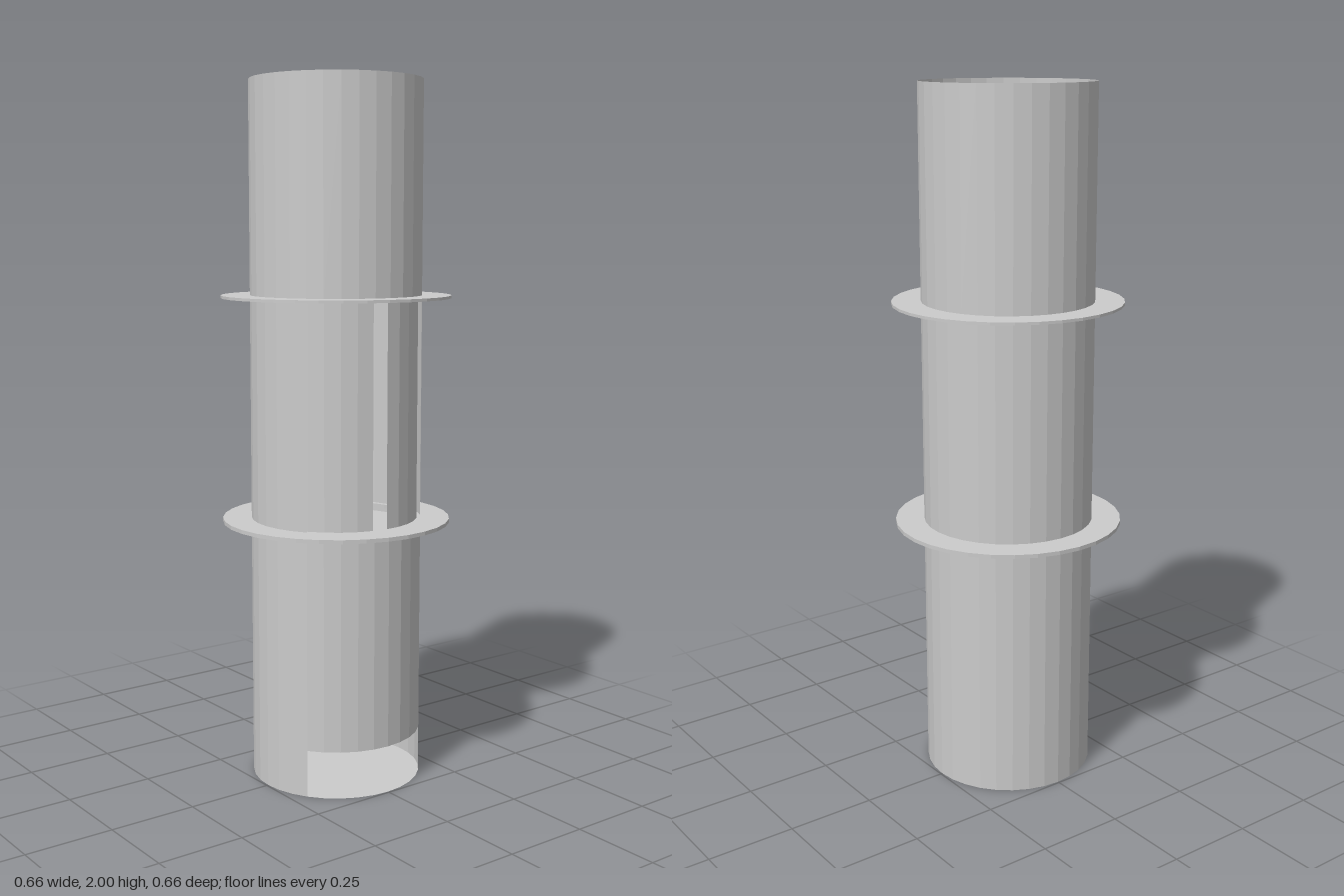
import * as THREE from 'three';

const SIDES = 32;
const STEP = (Math.PI * 2) / SIDES;
const RADIUS = 0.245;

const material = new THREE.MeshStandardMaterial({
  color: 0xcccccc, flatShading: true, side: THREE.DoubleSide,
});

function add(group, name, geometry, y = 0) {
  const mesh = new THREE.Mesh(geometry, material);
  mesh.name = name;
  mesh.position.y = y;
  group.add(mesh);
}

// Thin open wall between two heights, spanning a number of facets from a start facet
function wall(group, name, radius, y0, y1, start = 0, count = SIDES) {
  const geometry = new THREE.CylinderGeometry(
    radius, radius, y1 - y0, count, 1, true, start * STEP, count * STEP);
  add(group, name, geometry, (y0 + y1) / 2);
}

// Flat collar with a hole
function collar(group, name, inner, outer, y, thickness) {
  const h = thickness / 2;
  const profile = [[inner, -h], [outer, -h], [outer, h], [inner, h], [inner, -h]]
    .map(([r, v]) => new THREE.Vector2(r, v));
  add(group, name, new THREE.LatheGeometry(profile, SIDES), y);
}

// Horizontal disc closing the tube
function disc(group, name, radius, y) {
  const geometry = new THREE.CircleGeometry(radius, SIDES).rotateX(-Math.PI / 2);
  add(group, name, geometry, y);
}

export function createModel() {
  const model = new THREE.Group();
  model.name = 'slottedTube';

  // Outer tube: full bands alternate with bands cut open over nine facets
  const openStart = 12, openCount = 23;
  wall(model, 'outletBand', RADIUS, 0, 0.135, openStart, openCount);
  wall(model, 'lowerTube', RADIUS, 0.135, 0.735);
  wall(model, 'windowBand', RADIUS, 0.735, 1.4, openStart, openCount);
  wall(model, 'upperTube', RADIUS, 1.4, 2);

  // Inner shutter behind the window, with a slot one facet wide
  wall(model, 'shutter', 0.234, 0.735, 1.398, 8, SIDES - 1);

  // Floors of the outlet and of the window chamber
  disc(model, 'baseFloor', RADIUS, 0);
  disc(model, 'chamberFloor', RADIUS, 0.737);

  // Collars above and below the window
  collar(model, 'upperCollar', 0.218, 0.328, 1.399, 0.008);
  collar(model, 'lowerCollar', 0.218, 0.328, 0.757, 0.011);

  return model;
}
